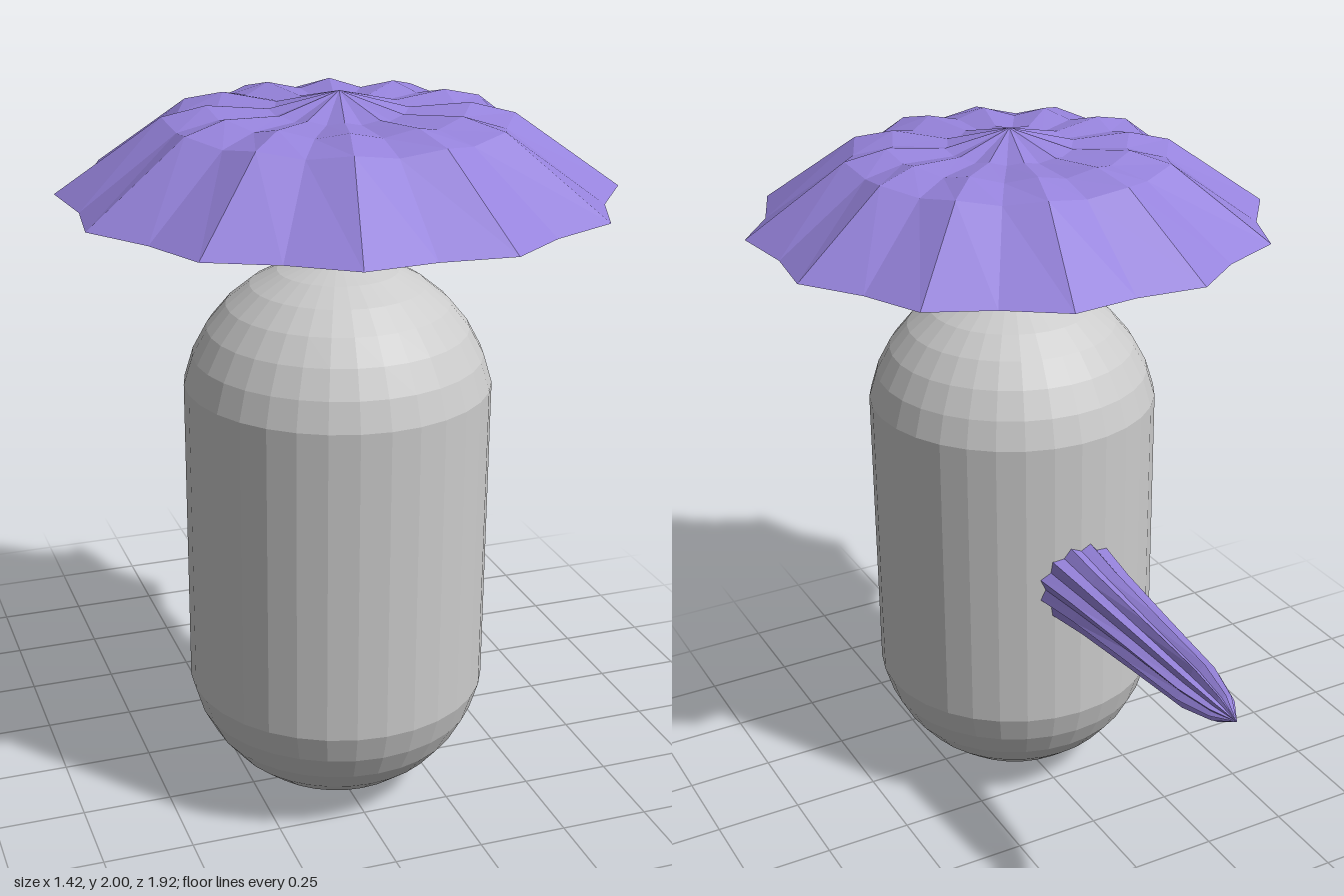
import * as THREE from 'three';

const CENTER_Z = 0.25;
const SIDES = 24;

const grey = new THREE.MeshStandardMaterial({ color: 0xcccccc, flatShading: true });
const purple = new THREE.MeshStandardMaterial({ color: 0x9683dc, flatShading: true, side: THREE.DoubleSide });

// Pleated surface around the y axis, from the tip outwards.
// Each ring is [ridge radius, ridge height, valley radius, valley height].
function pleated(tipY, rings) {
  const positions = [];
  const index = [];
  [[0, tipY, 0, tipY], ...rings].forEach(([rr, ry, vr, vy]) => {
    for (let k = 0; k < SIDES; k++) {
      const a = (k / SIDES) * Math.PI * 2;
      const [r, y] = k % 2 ? [rr, ry] : [vr, vy];
      positions.push(r * Math.sin(a), y, r * Math.cos(a));
    }
  });
  for (let i = 0; i < rings.length; i++) {
    for (let k = 0; k < SIDES; k++) {
      const n = (k + 1) % SIDES;
      const a = i * SIDES + k, b = i * SIDES + n;
      const c = a + SIDES, d = b + SIDES;
      index.push(c, d, a);
      if (i > 0) index.push(d, b, a);
    }
  }
  const geometry = new THREE.BufferGeometry();
  geometry.setAttribute('position', new THREE.Float32BufferAttribute(positions, 3));
  geometry.setIndex(index);
  geometry.computeVertexNormals();
  return geometry;
}

// Capsule profile: two rounded caps joined by a straight wall
function capsuleProfile(radius, height, steps) {
  const points = [];
  for (const end of [-1, 1]) {
    for (let i = 0; i < steps; i++) {
      const step = end < 0 ? steps - i : i + 1;
      const a = (step / steps) * Math.PI / 2;
      const centerY = end < 0 ? radius : height - radius;
      points.push(new THREE.Vector2(Math.max(0, radius * Math.cos(a)), centerY + end * radius * Math.sin(a)));
    }
  }
  return points;
}

export function createModel() {
  const group = new THREE.Group();
  const add = (name, geometry, material, y, z) => {
    const mesh = new THREE.Mesh(geometry, material);
    mesh.name = name;
    mesh.position.set(0, y, z);
    group.add(mesh);
    return mesh;
  };

  // Rounded body
  add('body', new THREE.LatheGeometry(capsuleProfile(0.423, 1.56, 8), 32), grey, 0, CENTER_Z);

  // Pole between body and canopy
  add('pole', new THREE.CylinderGeometry(0.022, 0.022, 0.46, 16), grey, 1.73, CENTER_Z);

  // Open pleated canopy
  add('canopy', pleated(2.0, [
    [0.18, 1.955, 0.17, 1.945],
    [0.34, 1.965, 0.32, 1.945],
    [0.455, 1.937, 0.43, 1.92],
    [0.735, 1.74, 0.685, 1.737],
  ]), purple, 0, CENTER_Z);

  // Folded canopy pointing straight back
  const tail = add('foldedTail', pleated(0.96, [
    [0.04, 0.89, 0.03, 0.89],
    [0.067, 0.78, 0.05, 0.78],
    [0.085, 0.54, 0.068, 0.54],
    [0.105, 0.3, 0.09, 0.3],
    [0.13, 0.1, 0.112, 0.1],
  ]), purple, 0.78, 0);
  tail.rotation.x = -Math.PI / 2;

  return group;
}
